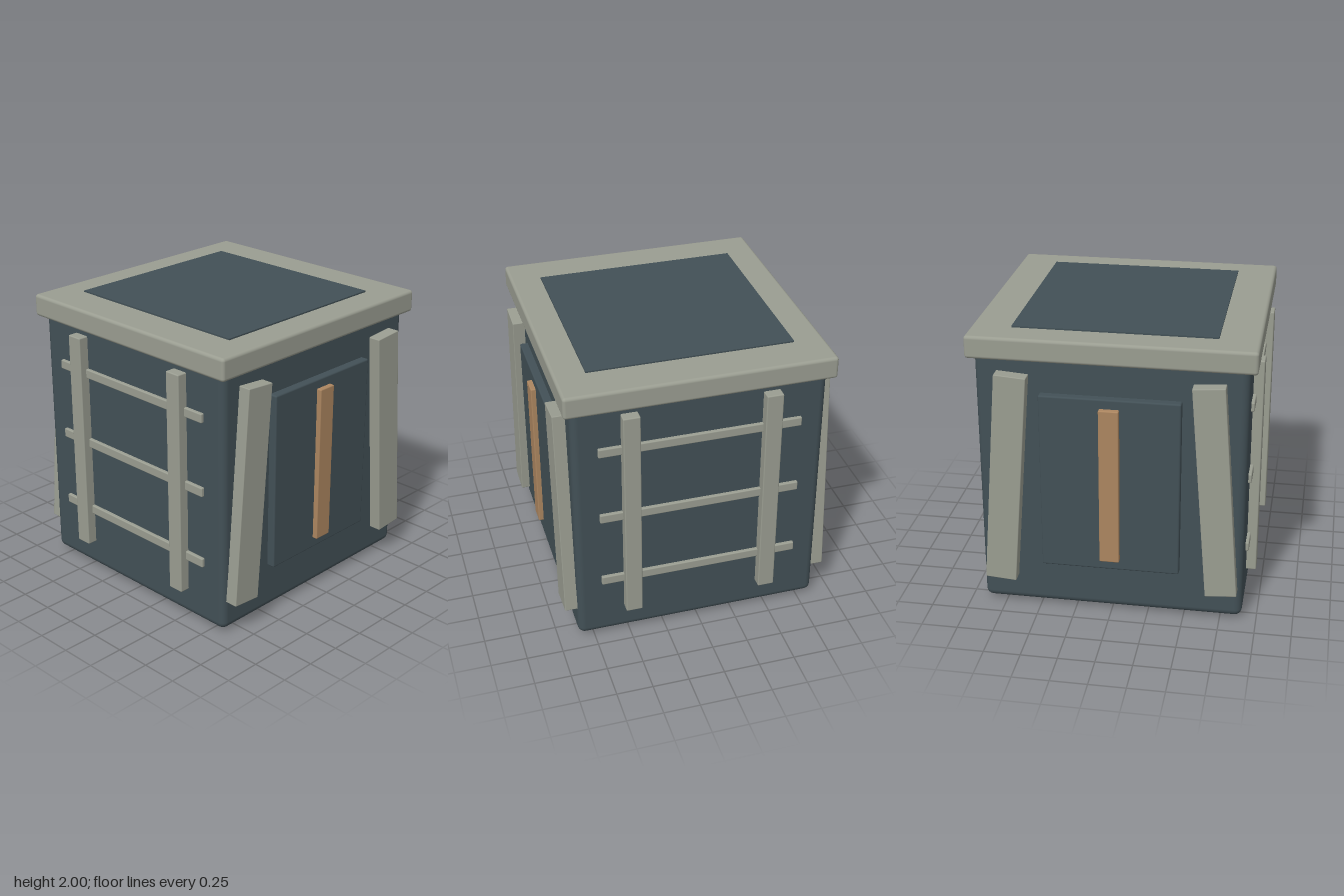
import * as THREE from 'three';
import { RoundedBoxGeometry } from 'three/addons/geometries/RoundedBoxGeometry.js';

const material = (name, color) => {
  const m = new THREE.MeshStandardMaterial({ color });
  m.name = name;
  return m;
};

export function createModel() {
  const slate = material('slate', 0x425056);
  const stone = material('stone', 0x9a9d91);
  const wood = material('wood', 0xac8660);

  const model = new THREE.Group();
  model.name = 'crate';

  // Bevelled block, sized and centred by its arguments
  const block = (name, mat, [w, h, d], [x, y, z], radius = 0.008, segments = 2) => {
    const mesh = new THREE.Mesh(new RoundedBoxGeometry(w, h, d, segments, radius), mat);
    mesh.name = name;
    mesh.position.set(x, y, z);
    model.add(mesh);
    return mesh;
  };

  // Main body and overhanging lid
  block('body', slate, [1.8, 1.9, 1.72], [0, 0.975, 0], 0.05, 3);
  block('lid', stone, [1.9, 0.155, 1.82], [0, 1.9125, 0], 0.022, 3);

  // Thin inset plates on top and underneath
  for (const [name, y] of [['topPlate', 1.985], ['bottomPlate', 0.015]]) {
    const plate = new THREE.Mesh(new THREE.BoxGeometry(1.36, 0.03, 1.4), slate);
    plate.name = name;
    plate.position.y = y;
    model.add(plate);
  }

  // Front and back: raised panel, wooden strip and two leaning braces
  for (const [side, s] of [['front', 1], ['back', -1]]) {
    block(side + 'Panel', slate, [0.94, 1.255, 0.09], [0, 0.9825, s * 0.87], 0.012);
    block(side + 'Strip', wood, [0.135, 1.115, 0.08], [0, 0.9875, s * 0.91]);
    for (const x of [-1, 1]) {
      const brace = block(side + 'Brace', stone, [0.215, 1.517, 0.11], [x * 0.703, 0.985, s * 0.89], 0.006);
      brace.rotation.z = x * 0.076;
    }
  }

  // Left and right: two posts over three rungs
  for (const [side, s] of [['left', 1], ['right', -1]]) {
    for (const z of [-0.478, 0.478]) {
      block(side + 'Post', stone, [0.11, 1.57, 0.115], [s * 0.915, 1.005, z]);
    }
    for (const y of [0.485, 1.005, 1.525]) {
      block(side + 'Rung', stone, [0.07, 0.065, 1.38], [s * 0.888, y, 0]);
    }
  }

  return model;
}
